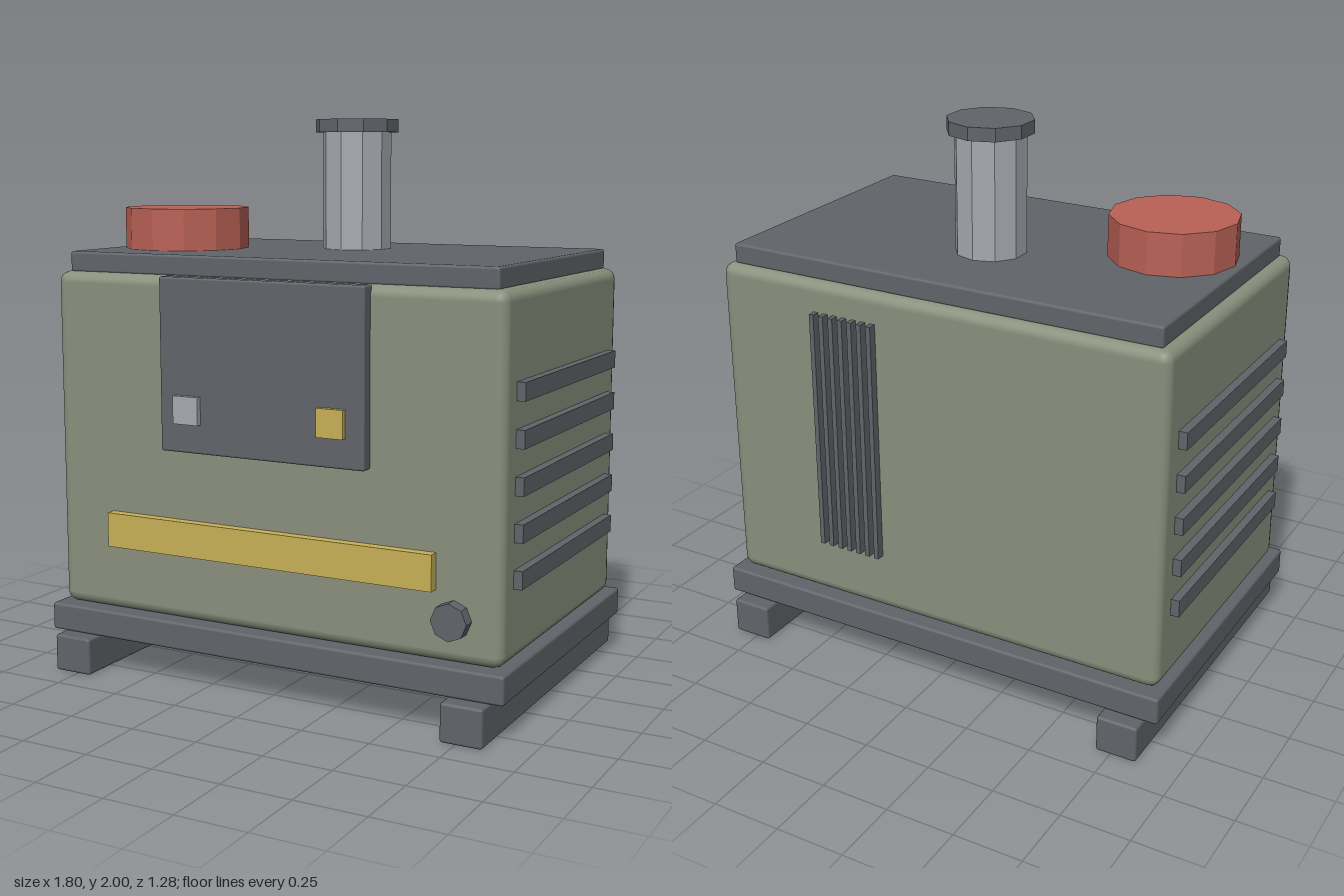
import * as THREE from 'three';
import { RoundedBoxGeometry } from 'three/addons/geometries/RoundedBoxGeometry.js';

export function createModel() {
  const model = new THREE.Group();
  model.name = 'generator';

  const material = (name, color) => {
    const m = new THREE.MeshStandardMaterial({ color });
    m.name = name;
    return m;
  };
  const olive = material('olivePaint', 0x8a8f7c);
  const slate = material('darkSlate', 0x60646a);
  const steel = material('lightSteel', 0xa6a9af);
  const yellow = material('mutedYellow', 0xc8b056);
  const red = material('brickRed', 0xb96155);

  const add = (name, geometry, mat) => {
    const mesh = new THREE.Mesh(geometry, mat);
    mesh.name = name;
    model.add(mesh);
    return mesh;
  };
  // Box given by its extents; a bevel rounds its edges
  const box = (name, mat, [x0, x1], [y0, y1], [z0, z1], bevel = 0) => {
    const size = [x1 - x0, y1 - y0, z1 - z0];
    const geometry = bevel
      ? new RoundedBoxGeometry(...size, 2, bevel)
      : new THREE.BoxGeometry(...size);
    add(name, geometry, mat).position.set((x0 + x1) / 2, (y0 + y1) / 2, (z0 + z1) / 2);
  };
  // Upright faceted drum
  const drum = (name, mat, radius, sides, x, z, y0, y1) => {
    const geometry = new THREE.CylinderGeometry(radius, radius, y1 - y0, sides).toNonIndexed();
    geometry.computeVertexNormals();
    add(name, geometry, mat).position.set(x, (y0 + y1) / 2, z);
  };

  // Housing, base and lid
  box('housing', olive, [-0.87, 0.87], [0.235, 1.46], [-0.545, 0.545], 0.04);
  box('base', slate, [-0.895, 0.895], [0.135, 0.235], [-0.585, 0.585], 0.01);
  box('lid', slate, [-0.83, 0.83], [1.455, 1.53], [-0.51, 0.51], 0.01);

  // Skids and side cooling fins
  for (const side of [-1, 1]) {
    box('skid', slate, side < 0 ? [-0.845, -0.695] : [0.695, 0.845], [0, 0.135], [-0.638, 0.638], 0.01);
    for (let i = 0; i < 5; i++) {
      const y = 0.517 + i * 0.154;
      box('sideFin', slate, side < 0 ? [-0.9, -0.84] : [0.84, 0.9], [y - 0.031, y + 0.031], [-0.45, 0.45]);
    }
  }

  // Upright ribs of the rear vent
  for (let i = 0; i < 7; i++) {
    const x = 0.226 + i * 0.039;
    box('rearVentRib', slate, [x - 0.009, x + 0.009], [0.455, 1.35], [-0.575, -0.53]);
  }

  // Control panel with two buttons, front stripe
  box('controlPanel', slate, [-0.397, 0.397], [0.852, 1.46], [0.53, 0.588], 0.008);
  box('steelButton', steel, [-0.333, -0.233], [0.955, 1.053], [0.57, 0.608]);
  box('yellowButton', yellow, [0.228, 0.328], [0.955, 1.053], [0.57, 0.608]);
  box('frontStripe', yellow, [-0.638, 0.638], [0.478, 0.602], [0.53, 0.582]);

  // Round knob
  const knobGeometry = new THREE.CylinderGeometry(0.064, 0.064, 0.06, 8).toNonIndexed();
  knobGeometry.computeVertexNormals();
  knobGeometry.rotateX(Math.PI / 2);
  add('knob', knobGeometry, slate).position.set(0.702, 0.387, 0.56);

  // Exhaust stack and fuel cap
  drum('exhaustStack', steel, 0.127, 10, 0, -0.13, 1.52, 1.96);
  drum('exhaustCap', slate, 0.153, 10, 0, -0.13, 1.953, 2);
  drum('fuelCap', red, 0.228, 12, -0.578, 0.127, 1.52, 1.68);

  return model;
}
